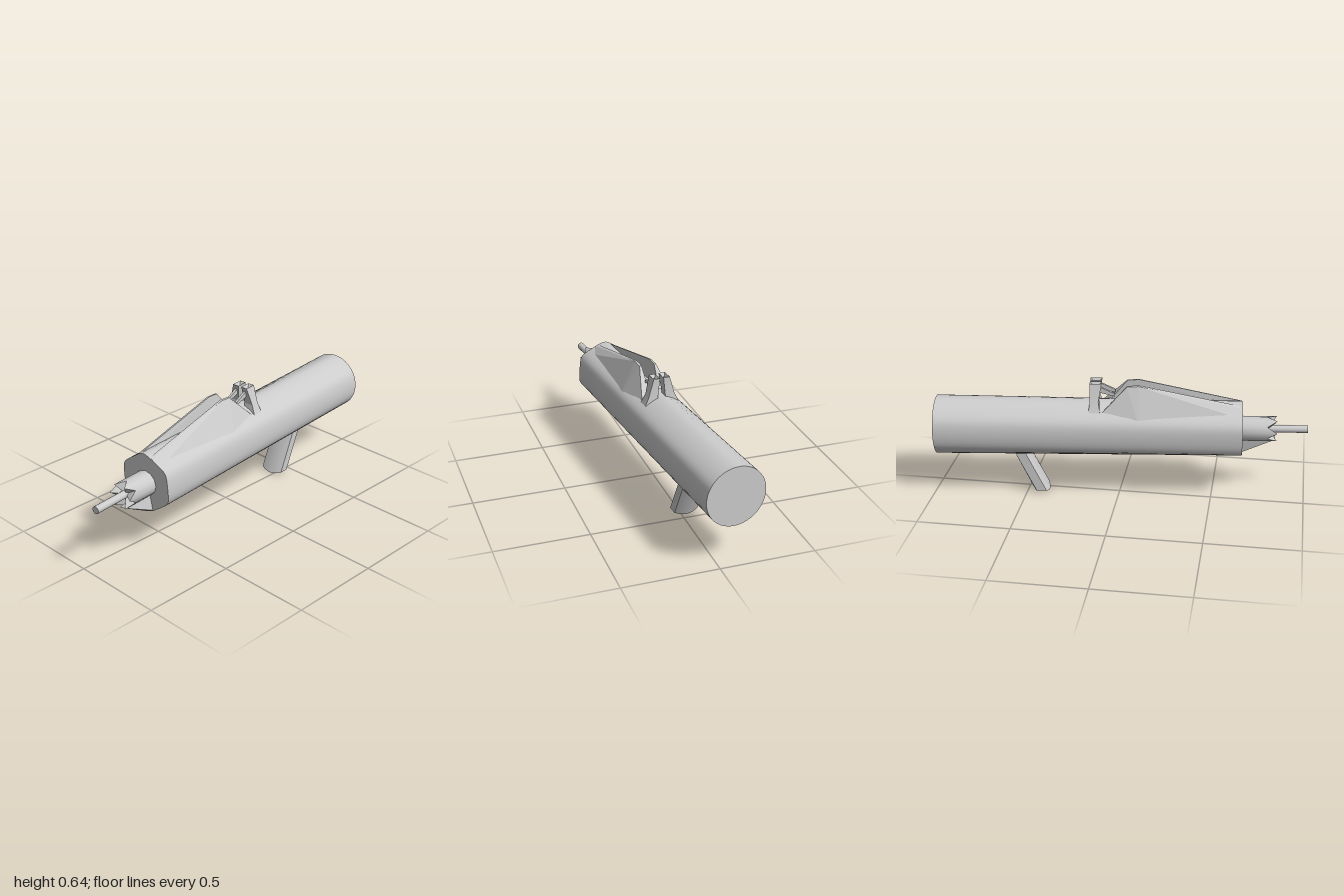
import * as THREE from 'three';
import { toCreasedNormals } from 'three/addons/utils/BufferGeometryUtils.js';
import { ConvexGeometry } from 'three/addons/geometries/ConvexGeometry.js';

const material = new THREE.MeshStandardMaterial({ color: 0xcccccc });

// Skin equal-sized rings (counter-clockwise about the direction of travel) and cap both ends.
function loft(rings, crease = 0.5, tip = null) {
  const n = rings[0].length, pos = [];
  const tri = (...pts) => pts.forEach((p) => pos.push(...p));
  const mid = (r) => [0, 1, 2].map((k) => r.reduce((s, p) => s + p[k], 0) / n);
  const first = rings[0], last = rings[rings.length - 1];
  const m0 = mid(first), m1 = tip || mid(last);
  for (let j = 0; j < n; j++) {
    const k = (j + 1) % n;
    for (let i = 0; i + 1 < rings.length; i++) {
      const a = rings[i], b = rings[i + 1];
      tri(a[j], a[k], b[k]);
      tri(a[j], b[k], b[j]);
    }
    tri(first[k], first[j], m0);
    tri(last[j], last[k], m1);
  }
  const g = new THREE.BufferGeometry();
  g.setAttribute('position', new THREE.Float32BufferAttribute(pos, 3));
  return toCreasedNormals(g, crease);
}

// Ring around the z axis with a radius and depth given per step.
const ringZ = (n, radius, depth) => Array.from({ length: n }, (_, i) => {
  const a = (i / n) * Math.PI * 2, r = radius(a);
  return [r * Math.cos(a), r * Math.sin(a), depth(i)];
});

// Rounded hexagon, rolled by five degrees.
function hexRadius(a) {
  let sum = 0;
  for (let k = 0; k < 6; k++) {
    const c = Math.cos(a - (5 + 60 * k) * Math.PI / 180);
    if (c > 0) sum += Math.pow(c / 0.146, 12);
  }
  return Math.pow(sum, -1 / 12);
}

// Grip section, counter-clockwise from above: bulging back, then bulging front.
function gripRing(y, z, dome) {
  const ring = [], steps = 8;
  for (const f of [-1, 1]) {
    for (let i = 0; i <= steps; i++) {
      const u = f * (2 * i / steps - 1);
      const bulge = 1 - u * u;
      ring.push([0.065 * u - 0.003, y - dome * bulge, z + f * (0.027 + 0.014 * bulge)]);
    }
  }
  return ring;
}

export function createModel() {
  const model = new THREE.Group();
  const assembly = new THREE.Group();
  assembly.name = 'assembly';
  assembly.position.set(0.02, 0.381, 0);
  assembly.rotation.set(-0.006, 0.0997, 0, 'YXZ');
  model.add(assembly);
  const add = (name, geometry) => {
    const mesh = new THREE.Mesh(geometry, material);
    mesh.name = name;
    assembly.add(mesh);
    return mesh;
  };

  // Main body: round at the back, hexagonal at the front
  add('body', loft([
    ringZ(48, () => 0.158, () => -0.99),
    ringZ(48, hexRadius, () => 0.65),
  ]));

  // Hub with a toothed end and the thin rod through it
  add('hub', loft([
    ringZ(12, () => 0.067, () => 0.6),
    ringZ(12, () => 0.067, (i) => (i % 2 ? 0.785 : 0.838)),
  ], 0.6, [0, 0, 0.795]));
  const rod = new THREE.CylinderGeometry(0.02, 0.02, 0.3, 16).rotateX(Math.PI / 2);
  add('rod', rod).position.z = 0.853;

  // Wedge bracing the hub from below
  const brace = new ConvexGeometry([
    [-0.014, -0.153, 0.64], [0.022, -0.153, 0.64], [-0.016, -0.05, 0.64], [0.016, -0.05, 0.64],
    [-0.016, -0.06, 0.832], [0.016, -0.06, 0.832], [0.004, -0.153, 0.66],
  ].map((p) => new THREE.Vector3(...p)));
  add('lowerBrace', brace).rotation.z = 0.14;

  for (const s of [1, -1]) {
    const side = s > 0 ? 'left' : 'right';
    const hull = (pts) => new ConvexGeometry(pts.map(([x, y, z]) => new THREE.Vector3(s * x, y, z)));

    // Long ridge rising from the front face to a peak, its flank running into the body
    add(side + 'Ridge', hull([
      [0.028, 0.1, 0.648], [0.09, 0.098, 0.648], [0.034, 0.146, 0.648], [0.05, 0.14, 0.648],
      [0.026, 0.08, 0.1], [0.129, 0.08, 0.1], [0.036, 0.262, 0.1], [0.048, 0.26, 0.1],
      [0.036, 0.257, 0.04], [0.048, 0.256, 0.04], [0.026, 0.09, -0.1], [0.09, 0.115, -0.1],
    ])).rotation.z = 0.04;

    // Rear post: flared foot and a notched, spiked top
    const level = (y, x0, x1, z0, z1) => {
      const r = [[x1, z1], [x1, z0], [x0, z0], [x0, z1]].map(([x, z]) => [s * x, y, z]);
      return s > 0 ? r : r.reverse();
    };
    add(side + 'RearPost', loft([
      level(0.105, 0.03, 0.102, -0.165, -0.1),
      level(0.17, 0.02, 0.072, -0.158, -0.112),
      level(0.264, 0.01, 0.045, -0.158, -0.095),
    ], 0.2, [s * 0.028, 0.232, -0.127]));

    // Slanted strut between the ridge and the rear post
    add(side + 'Strut', hull([
      [0.022, 0.19, -0.025], [0.036, 0.19, -0.025], [0.022, 0.205, -0.025], [0.036, 0.205, -0.025],
      [0.022, 0.215, -0.12], [0.036, 0.215, -0.12], [0.022, 0.25, -0.12], [0.036, 0.25, -0.12],
    ]));
  }

  // Slanted grip with curved front and back faces
  add('grip', loft([gripRing(-0.364, -0.43, 0.014), gripRing(-0.1, -0.555, 0)]));

  return model;
}
